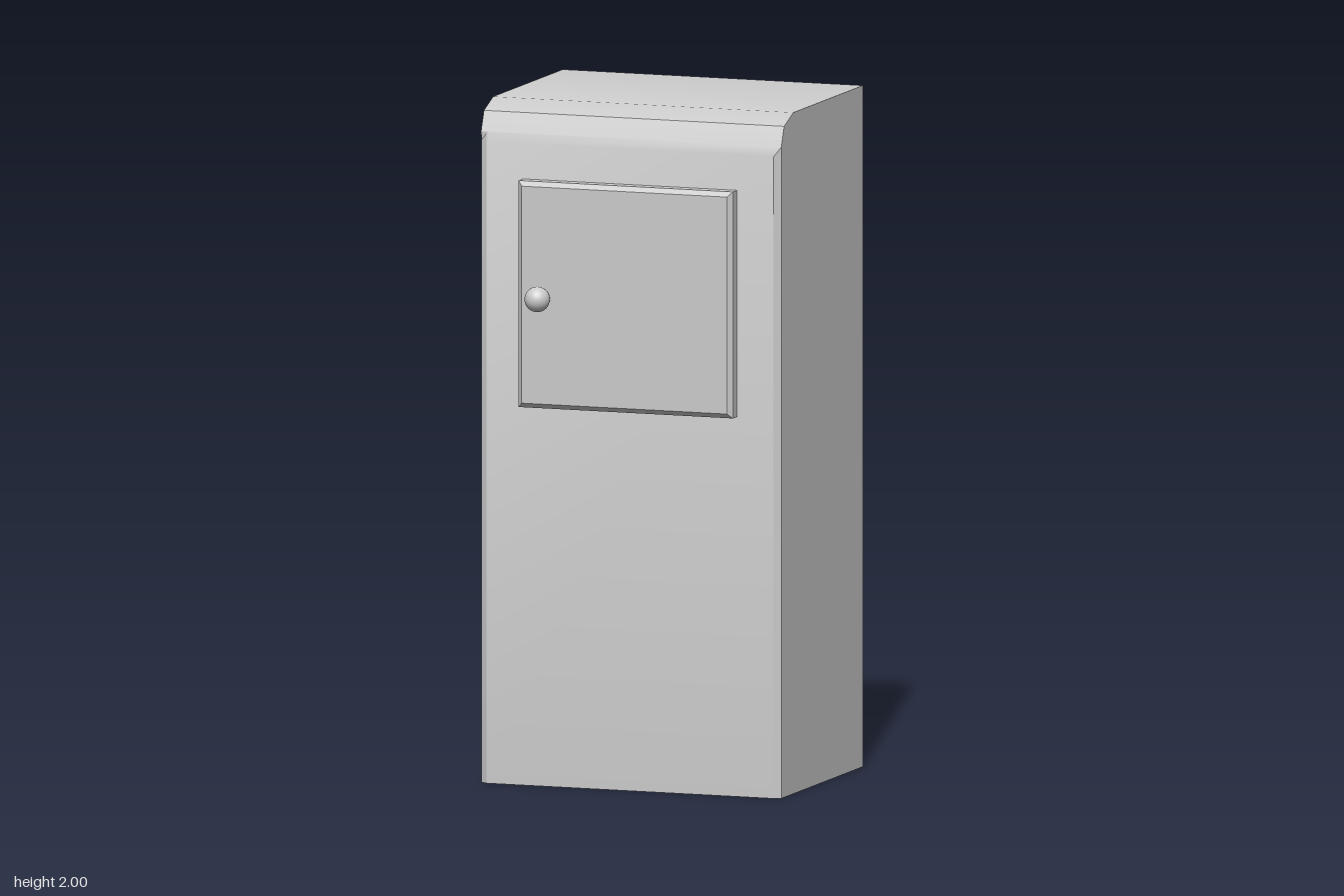
import * as THREE from 'three';
import { toCreasedNormals } from 'three/addons/utils/BufferGeometryUtils.js';

const W = 0.465, BACK = -0.402;

// Cabinet: stacked horizontal cross-sections [height, front z, corner chamfer 0..1]
function cabinetGeometry() {
  const rows = [[0, 0.29, 1], [1.885, 0.29, 1], [1.912, 0.281, 0], [1.97, 0.257, 0], [2, 0.18, 0]];
  const positions = [], index = [], n = 6;
  for (const [y, z, c] of rows) {
    const side = z - 0.013 * c, x = W - 0.02;
    const ring = [[-W, BACK], [W, BACK], [W, side], [x, z], [-x, z], [-W, side]];
    for (const [px, pz] of ring) positions.push(px, y, pz);
  }
  for (let i = 0; i < rows.length - 1; i++) {
    for (let j = 0; j < n; j++) {
      const a = i * n + j, b = i * n + (j + 1) % n;
      index.push(a, a + n, b, b, a + n, b + n);
    }
  }
  // Bottom and top faces
  const top = (rows.length - 1) * n;
  for (let j = 1; j < n - 1; j++) {
    index.push(0, j, j + 1);
    index.push(top, top + j + 1, top + j);
  }
  const geometry = new THREE.BufferGeometry();
  geometry.setAttribute('position', new THREE.Float32BufferAttribute(positions, 3));
  geometry.setIndex(index);
  return toCreasedNormals(geometry, 0.52);
}

// Door panel with a bevelled front rim
function doorGeometry() {
  const b = 0.014, w = 0.332 - b, y0 = 1.115 + b, y1 = 1.78 - b;
  const shape = new THREE.Shape([
    new THREE.Vector2(-w, y0), new THREE.Vector2(w, y0),
    new THREE.Vector2(w, y1), new THREE.Vector2(-w, y1),
  ]);
  const geometry = new THREE.ExtrudeGeometry(shape, {
    depth: 0.05, bevelEnabled: true, bevelSegments: 1, bevelSize: b, bevelThickness: b,
  });
  return geometry.translate(0, 0, 0.339 - 0.05 - b);
}

export function createModel() {
  const group = new THREE.Group();
  const material = new THREE.MeshStandardMaterial({ color: 0xcccccc });
  const add = (name, geometry) => {
    const mesh = new THREE.Mesh(geometry, material);
    mesh.name = name;
    group.add(mesh);
    return mesh;
  };
  add('cabinet', cabinetGeometry());
  add('door', doorGeometry());
  add('knob', new THREE.SphereGeometry(0.037, 32, 16)).position.set(-0.26, 1.44, 0.365);
  return group;
}
